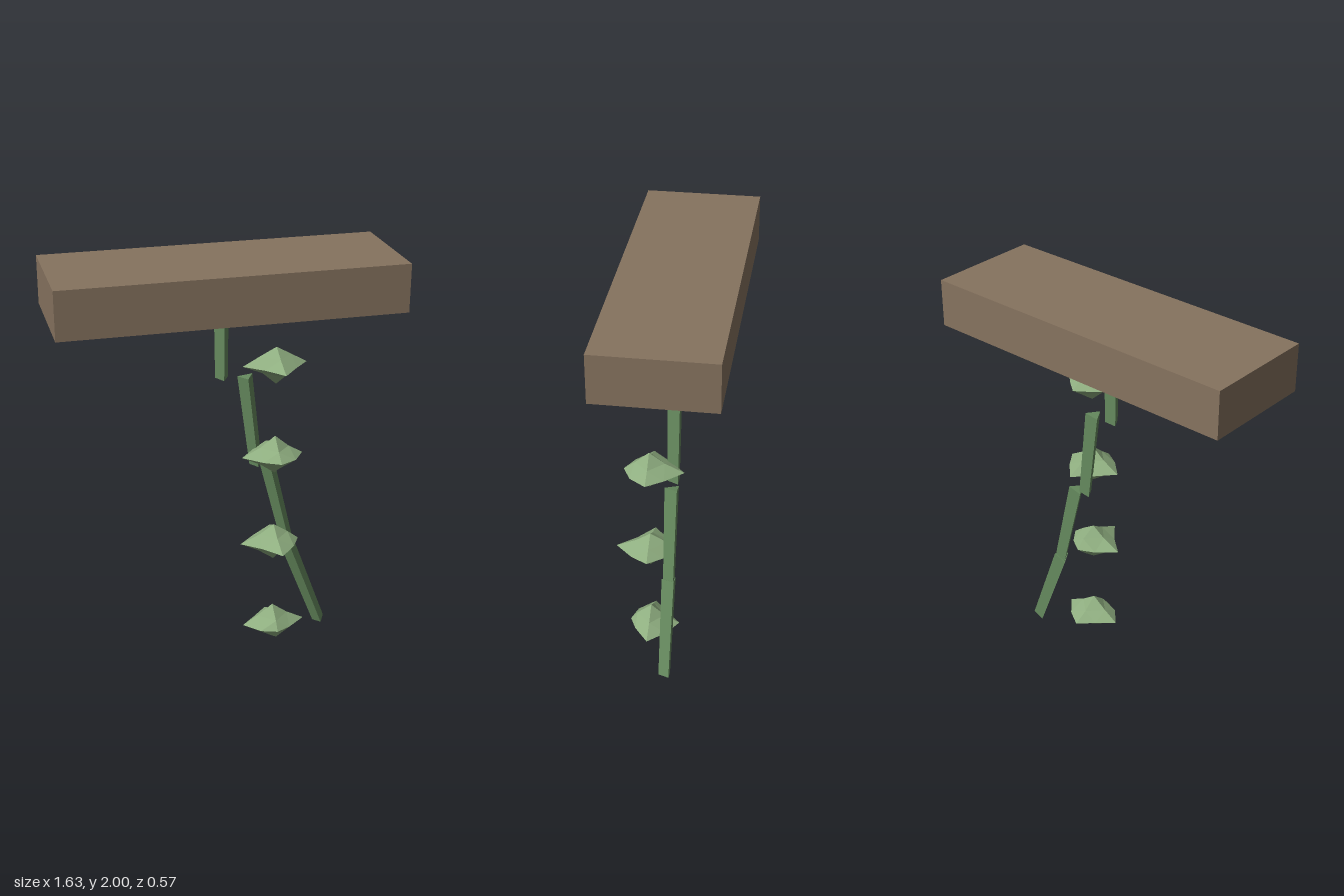
import * as THREE from 'three';

const material = (color, side = THREE.FrontSide) =>
  new THREE.MeshStandardMaterial({ color, flatShading: true, side });

// Repeatable value in -1..1 for a direction and a seed
function jitter(v, seed) {
  const s = Math.sin(v.x * 12.9 + v.y * 78.2 + v.z * 37.7 + seed * 4.1) * 437.5;
  return (s - Math.floor(s)) * 2 - 1;
}

// Box with no underside
function openBox(w, h, d) {
  const geometry = new THREE.BoxGeometry(w, h, d);
  const index = Array.from(geometry.index.array);
  index.splice(18, 6);
  geometry.setIndex(index);
  geometry.clearGroups();
  return geometry;
}

// Spiky leaf clump: a subdivided octahedron with long tips and pulled-in shoulders
function leafGeometry({ right, left, front, back, top, bottom }, seed) {
  const geometry = new THREE.OctahedronGeometry(1, 1);
  const pos = geometry.attributes.position;
  const v = new THREE.Vector3();
  for (let i = 0; i < pos.count; i++) {
    v.fromBufferAttribute(pos, i);
    v.set(...v.toArray().map((n) => Math.round(n * 100) / 100 + 0)); // same jitter for shared corners
    if (v.x > 0.9) v.setLength(left);
    else if (v.x < -0.9) v.setLength(right);
    else if (v.z > 0.9) v.setLength(front);
    else if (v.z < -0.9) v.setLength(back);
    else if (v.y > 0.9) v.setLength(top);
    else if (v.y < -0.9) v.setLength(bottom);
    else if (Math.abs(v.y) < 0.1) v.setLength(0.112 + 0.012 * jitter(v, seed));
    else {
      v.setLength(0.102 + 0.01 * jitter(v, seed));
      v.y *= 0.6;
    }
    pos.setXYZ(i, v.x, v.y, v.z);
  }
  geometry.computeVertexNormals();
  return geometry;
}

export function createModel() {
  const group = new THREE.Group();
  const add = (name, geometry, mat, x, y, z) => {
    const mesh = new THREE.Mesh(geometry, mat);
    mesh.name = name;
    mesh.position.set(x, y, z);
    group.add(mesh);
    return mesh;
  };

  // Hanging planter, open underneath
  add('planter', openBox(1.634, 0.232, 0.558), material(0x86735f, THREE.DoubleSide), 0, 1.884, -0.004);

  // Three-sided vine pieces, each leaning further than the last
  const vineMaterial = material(0x668a5e);
  for (let i = 0; i < 4; i++) {
    const tilt = i * 0.12;
    const length = 0.468 / Math.cos(tilt);
    const vine = add('vineSegment' + (i + 1), new THREE.CylinderGeometry(0.043, 0.036, length, 3),
      vineMaterial, i * 0.1445, 1.651 - i * 0.468, 0);
    vine.rotation.z = tilt;
  }

  // Leaf clumps in a vertical row beside the vine
  const leafMaterial = material(0x8fae80);
  const clumps = [
    { left: 0.148, right: 0.164, front: 0.164, back: 0.137, top: 0.085, bottom: 0.1 },
    { left: 0.138, right: 0.164, front: 0.122, back: 0.169, top: 0.1, bottom: 0.095 },
    { left: 0.127, right: 0.169, front: 0.169, back: 0.12, top: 0.09, bottom: 0.1 },
    { left: 0.164, right: 0.153, front: 0.106, back: 0.143, top: 0.103, bottom: 0.085 },
  ];
  clumps.forEach((tips, i) =>
    add('leafClump' + (i + 1), leafGeometry(tips, i + 1), leafMaterial, 0.232, 1.512 - i * 0.468, 0.115));

  return group;
}
